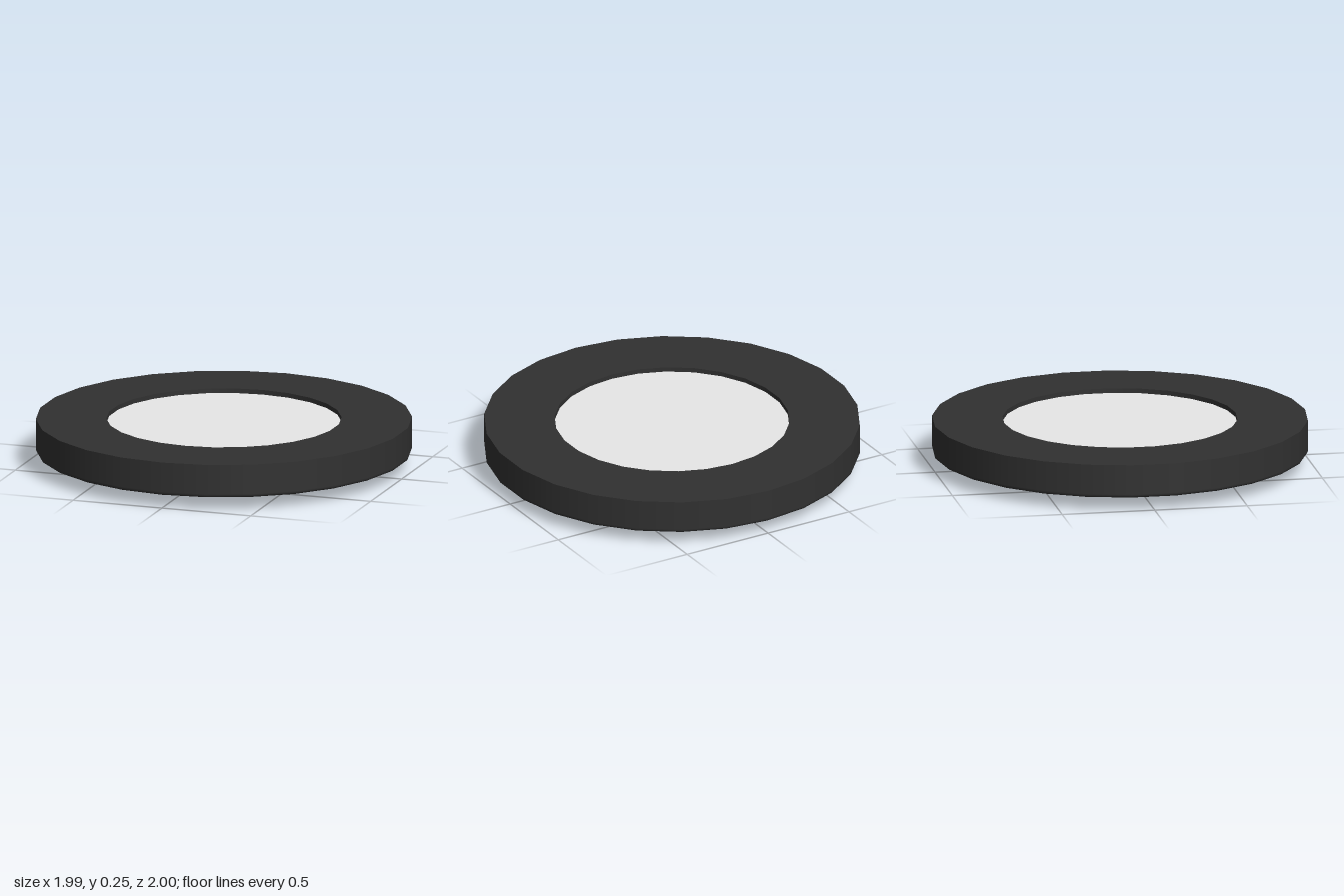
import * as THREE from 'three';

const SIDES = 26;

// Revolves a profile of [radius, height] points; a repeated point makes a sharp edge.
function revolve(name, points, material) {
  const profile = points.map(([r, y]) => new THREE.Vector2(r, y));
  const mesh = new THREE.Mesh(new THREE.LatheGeometry(profile, SIDES), material);
  mesh.name = name;
  return mesh;
}

export function createModel() {
  const group = new THREE.Group();
  group.name = 'lensRing';

  const black = new THREE.MeshStandardMaterial({ color: 0x313131 });
  black.name = 'black';
  const white = new THREE.MeshStandardMaterial({ color: 0xf4f4f4 });
  white.name = 'white';

  const hole = 0.625, bottom = 0.07, top = 0.25, bevel = 0.012;

  // Thick flat ring with a small rounded lower outer edge
  group.add(revolve('ring', [
    [hole, bottom], [hole, bottom],
    [0.98, bottom], [1 - bevel, bottom],
    [1 - bevel * 0.3, bottom + bevel * 0.3],
    [1, bottom + bevel], [1, bottom + bevel * 1.6],
    [1, top], [1, top],
    [hole, top], [hole, top],
    [hole, bottom],
  ], black));

  // Flat lens face, slightly recessed in the ring
  group.add(revolve('lensFace', [[hole, 0.225], [0, 0.225]], white));

  // Shallow dome bulging out below the ring
  group.add(revolve('lensDome', [[0, 0], [0.35, 0.032], [hole, 0.092]], white));

  return group;
}
